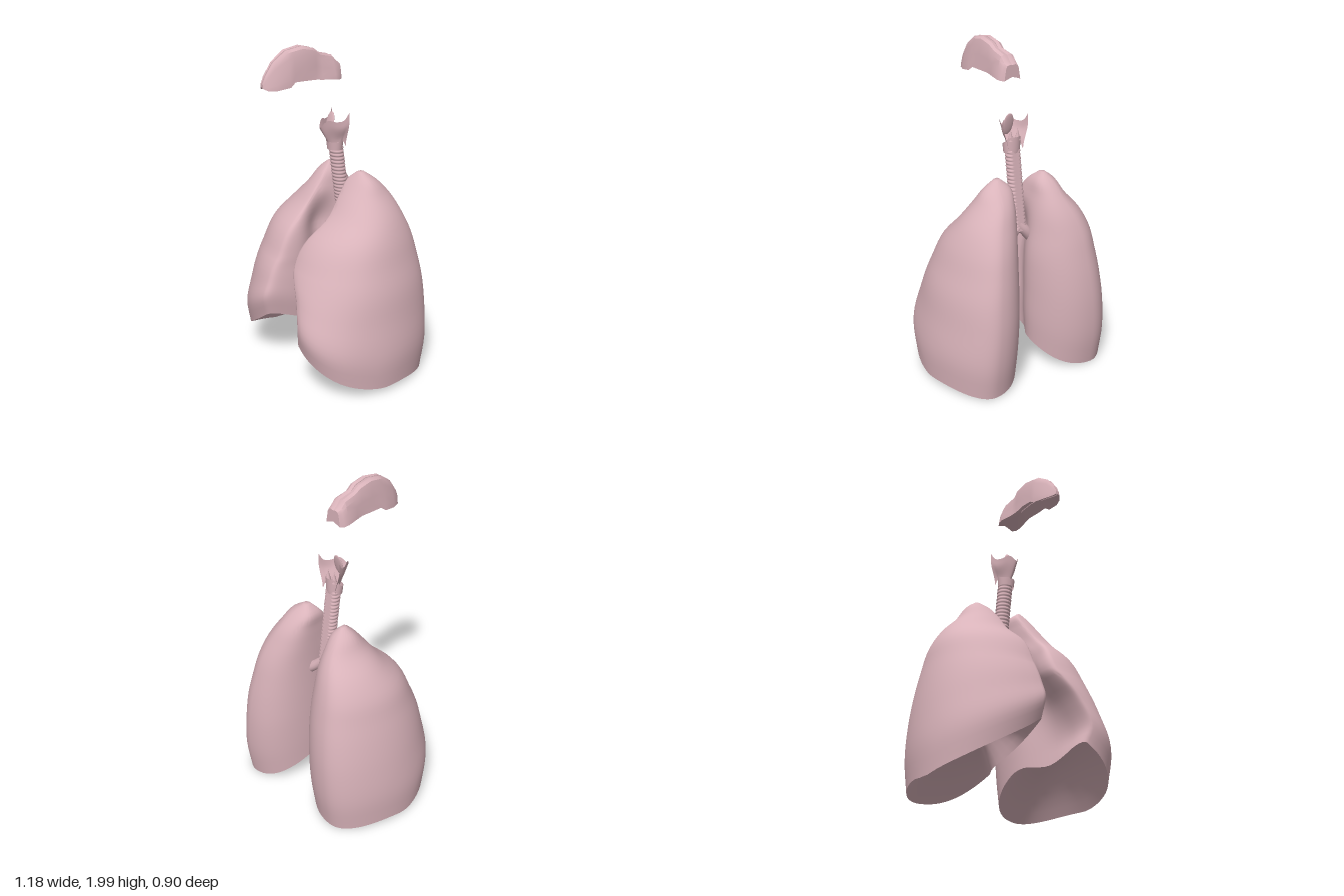
import * as THREE from 'three';
import { toCreasedNormals } from 'three/addons/utils/BufferGeometryUtils.js';

const { clamp, lerp, smoothstep } = THREE.MathUtils;
const tissue = new THREE.MeshStandardMaterial({ color: 0xd9b3ba, side: THREE.DoubleSide });
tissue.name = 'pink tissue';

function part(name, geometry, parent) {
  const mesh = new THREE.Mesh(geometry, tissue);
  mesh.name = name;
  parent.add(mesh);
  return mesh;
}

const centreOf = (ring) => ring.reduce((a, p) => a.add(p), new THREE.Vector3()).divideScalar(ring.length);

// Skin a stack of equal rings of Vector3 and close both ends, facing outwards
function loft(rings, crease) {
  const n = rings[0].length;
  const collapse = (ring) => ring.map(() => centreOf(ring));
  const all = [collapse(rings[0]), ...rings, collapse(rings[rings.length - 1])];
  const pts = all.flat();
  const index = [];
  let volume = 0;
  const tri = (a, b, c) => {
    index.push(a, b, c);
    volume += pts[a].dot(new THREE.Vector3().crossVectors(pts[b], pts[c]));
  };
  for (let r = 0; r < all.length - 1; r++) {
    for (let i = 0; i < n; i++) {
      const a = r * n + i, b = r * n + ((i + 1) % n), c = a + n, d = b + n;
      if (r > 0) tri(a, b, d);
      if (r < all.length - 2) tri(a, d, c);
    }
  }
  if (volume < 0) index.reverse();
  const g = new THREE.BufferGeometry().setFromPoints(pts);
  g.setIndex(index);
  return toCreasedNormals(g, crease);
}

// Rows: height, inner x at back, inner x at front, outer x, back z, front z
const leftRows = [
  [0, 0.09, 0.18, 0.578, -0.41, 0.39], [0.2, 0.085, 0.21, 0.588, -0.44, 0.412],
  [0.42, 0.085, 0.15, 0.56, -0.445, 0.38], [0.6, 0.085, 0.065, 0.535, -0.43, 0.345],
  [0.75, 0.085, 0.02, 0.495, -0.405, 0.30], [0.88, 0.085, 0.04, 0.455, -0.375, 0.22],
  [1.0, 0.085, 0.08, 0.395, -0.33, 0.09], [1.12, 0.085, 0.085, 0.31, -0.27, 0.0],
  [1.2, 0.09, 0.09, 0.25, -0.2, -0.06], [1.245, 0.14, 0.14, 0.18, -0.14, -0.1],
];
const rightRows = [
  [0, 0.02, 0.03, 0.583, -0.41, 0.39], [0.2, 0.01, 0.015, 0.592, -0.44, 0.417],
  [0.42, 0.01, 0.015, 0.57, -0.445, 0.385], [0.6, 0.01, 0.02, 0.54, -0.43, 0.35],
  [0.75, 0.015, 0.02, 0.505, -0.405, 0.30], [0.88, 0.035, 0.03, 0.465, -0.375, 0.23],
  [1.0, 0.06, 0.055, 0.385, -0.33, 0.1], [1.1, 0.085, 0.08, 0.29, -0.27, 0.02],
  [1.19, 0.11, 0.11, 0.23, -0.2, -0.06], [1.23, 0.15, 0.15, 0.18, -0.15, -0.11],
];

function lungGeometry(rows, side, inner, hilumZ, hilumDepth) {
  const table = new THREE.CubicInterpolant(rows.map((r) => r[0]), rows.flatMap((r) => r.slice(1)), 5);
  const top = rows[rows.length - 1][0], N = 72, blend = 0.72;
  // Height of the slanting lower rim
  const base = (x, z) => {
    const u = clamp((0.58 - x) / (0.58 - inner), 0, 1), f = clamp((z + 0.45) / 0.87, 0, 1);
    return 0.002 + 0.028 * (1 - u) ** 6 + 0.33 * Math.sqrt(u) * Math.pow(f, 1.5) + 0.12 * u ** 4;
  };
  const ringAt = (y) => {
    const [xb, xf, xo, zb, zf] = table.evaluate(y);
    const depth = hilumDepth * (1 - smoothstep(y, 0.85, 1.1));
    return Array.from({ length: N }, (_, i) => {
      const a = (i / N) * Math.PI * 2, c = Math.cos(a), s = Math.sin(a);
      const z = (zb + zf) / 2 + ((zf - zb) / 2) * s, f = (s + 1) / 2;
      // inner wall with a hollow where the airway enters
      const hollow = depth * Math.exp(-(((z - hilumZ) / 0.11) ** 2));
      const xi = lerp(xb, xf, smoothstep(f, 0.5, 0.85));
      const xm = xi + (xo - xi) * lerp(0.56, 0.26, f);
      const round = lerp(0.85, 0.38, f);
      const x = c > 0 ? xm + (xo - xm) * c : xm - (xm - xi - hollow) * Math.pow(-c, round);
      const b = base(x, z);
      return new THREE.Vector3(x, y < blend ? b + (y * (blend - b)) / blend : y, z);
    });
  };
  const rings = [];
  const rim = ringAt(0), mid = centreOf(rim);
  // Domed hollow underside
  for (let k = 1; k < 9; k++) {
    const s = k / 9;
    rings.push(rim.map((p) => {
      const q = mid.clone().lerp(p, s);
      q.y += 0.2 * (1 - s * s);
      return q;
    }));
  }
  // Outer wall up to the apex
  for (let k = 0; k <= 36; k++) rings.push(ringAt(top * (1 - Math.pow(1 - k / 36, 1.5))));
  rings.forEach((r) => r.forEach((p) => { p.x *= side; }));
  return loft(rings, 0.9);
}

function buildAirway(group) {
  const axisZ = (y) => -0.055 - (1.36 - y) * 0.135;
  // Ribbed windpipe, flattened at the back
  const profile = [];
  for (let i = 0; i <= 132; i++) {
    const r = 0.043 + 0.005 * Math.abs(Math.sin((i / 132) * Math.PI * 22));
    profile.push(new THREE.Vector2(r, 0.89 + (i / 132) * 0.49));
  }
  const pipe = new THREE.LatheGeometry(profile, 28);
  const p = pipe.attributes.position;
  for (let i = 0; i < p.count; i++) {
    p.setZ(i, Math.max(p.getZ(i), -0.036) * 0.9 + axisZ(p.getY(i)));
  }
  pipe.computeVertexNormals();
  part('windpipe', pipe, group);

  // Main airway branches
  const V = (x, y, z) => new THREE.Vector3(x, y, z);
  const tube = (name, pts, r) =>
    part(name, new THREE.TubeGeometry(new THREE.CatmullRomCurve3(pts), 16, r, 14), group);
  tube('leftBronchus', [V(-0.01, 0.93, -0.115), V(0.04, 0.885, -0.125), V(0.1, 0.83, -0.14), V(0.18, 0.77, -0.14)], 0.03);
  tube('rightBronchus', [V(0.01, 0.93, -0.115), V(-0.035, 0.885, -0.125), V(-0.09, 0.82, -0.125), V(-0.17, 0.73, -0.12)], 0.033);
  for (const s of [-1, 1]) {
    tube('upperBranch', [V(s * 0.06, 0.865, -0.13), V(s * 0.12, 0.86, -0.145), V(s * 0.19, 0.89, -0.15)], 0.02);
  }
}

function buildLarynx(group) {
  // Signet-shaped ring, taller at the back
  const ring = new THREE.CylinderGeometry(0.056, 0.05, 0.05, 28, 2, true);
  const p = ring.attributes.position;
  for (let i = 0; i < p.count; i++) {
    const back = smoothstep(-p.getZ(i), -0.02, 0.05);
    if (p.getY(i) > 0) p.setY(i, p.getY(i) + back * 0.05);
    p.setZ(i, p.getZ(i) * 0.85);
  }
  ring.computeVertexNormals();
  part('cricoidRing', ring, group).position.set(0, 1.385, -0.045);

  // Shield plates meeting at the front, with upper horns at the back
  const topLine = new THREE.CubicInterpolant([0, 0.25, 0.6, 0.85, 1], [1.5, 1.543, 1.535, 1.548, 1.59], 1);
  const shield = new THREE.PlaneGeometry(2, 1, 48, 10);
  const q = shield.attributes.position;
  for (let i = 0; i < q.count; i++) {
    const t = q.getX(i), a = Math.abs(t), v = q.getY(i) + 0.5;
    const low = 1.4 + 0.01 * a - 0.03 * smoothstep(a, 0.85, 1);
    const w = lerp(0.052, 0.087, smoothstep(v, 0, 0.75));
    const front = lerp(0, 0.064, v);
    q.setXYZ(i, Math.sign(t) * w * Math.pow(a, 0.75), lerp(low, topLine.evaluate(a)[0], v), lerp(front, -0.088, Math.pow(a, 1.1)));
  }
  shield.computeVertexNormals();
  part('thyroidShield', shield, group);

  const flap = part('epiglottis', new THREE.SphereGeometry(1, 20, 14), group);
  flap.scale.set(0.036, 0.07, 0.008);
  flap.position.set(0, 1.52, -0.01);
  flap.rotation.x = -0.25;
  for (const s of [-1, 1]) {
    const cone = part('arytenoid', new THREE.ConeGeometry(0.018, 0.07, 10), group);
    cone.position.set(s * 0.025, 1.47, -0.07);
  }
}

function buildNasalCavity(group) {
  // Rows: z, bottom y, top y, half width at the bottom, half width at the top
  const rows = [
    [0.45, 1.79, 1.82, 0.015, 0.01], [0.43, 1.777, 1.86, 0.035, 0.018], [0.38, 1.775, 1.93, 0.055, 0.025],
    [0.3, 1.785, 1.985, 0.066, 0.036], [0.265, 1.81, 1.99, 0.06, 0.042], [0.2, 1.81, 2.0, 0.063, 0.046],
    [0.12, 1.805, 1.98, 0.055, 0.046], [0.08, 1.8, 1.95, 0.06, 0.04], [0.0, 1.795, 1.93, 0.076, 0.045],
    [-0.03, 1.79, 1.895, 0.07, 0.045], [-0.053, 1.79, 1.88, 0.055, 0.04],
  ];
  for (const s of [-1, 1]) {
    const rings = rows.map(([z, b, t, wb, wt]) => {
      const gap = z > 0.1 ? 0.002 : 0, h = t - b;
      return [
        [gap, b + h * 0.2], [wb * 0.55, b + h * 0.1], [wb, b], [wb * 0.95, b + h * 0.2],
        [lerp(wb, wt, 0.45), b + h * 0.45], [lerp(wb, wt, 0.75), b + h * 0.75],
        [wt * 0.9, b + h * 0.93], [wt * 0.5, t], [gap, t - 0.004],
      ].map(([x, y]) => new THREE.Vector3(s * x, y, z));
    });
    part(s > 0 ? 'leftNasalCavity' : 'rightNasalCavity', loft(rings, 0.6), group);
  }
}

export function createModel() {
  const model = new THREE.Group();
  model.name = 'respiratorySystem';
  part('leftLung', lungGeometry(leftRows, 1, 0.08, 0.1, 0.05), model);
  part('rightLung', lungGeometry(rightRows, -1, 0.02, 0.0, 0.1), model);
  const groups = { airway: buildAirway, larynx: buildLarynx, nasalCavity: buildNasalCavity };
  for (const [name, build] of Object.entries(groups)) {
    const g = new THREE.Group();
    g.name = name;
    build(g);
    model.add(g);
  }
  return model;
}
